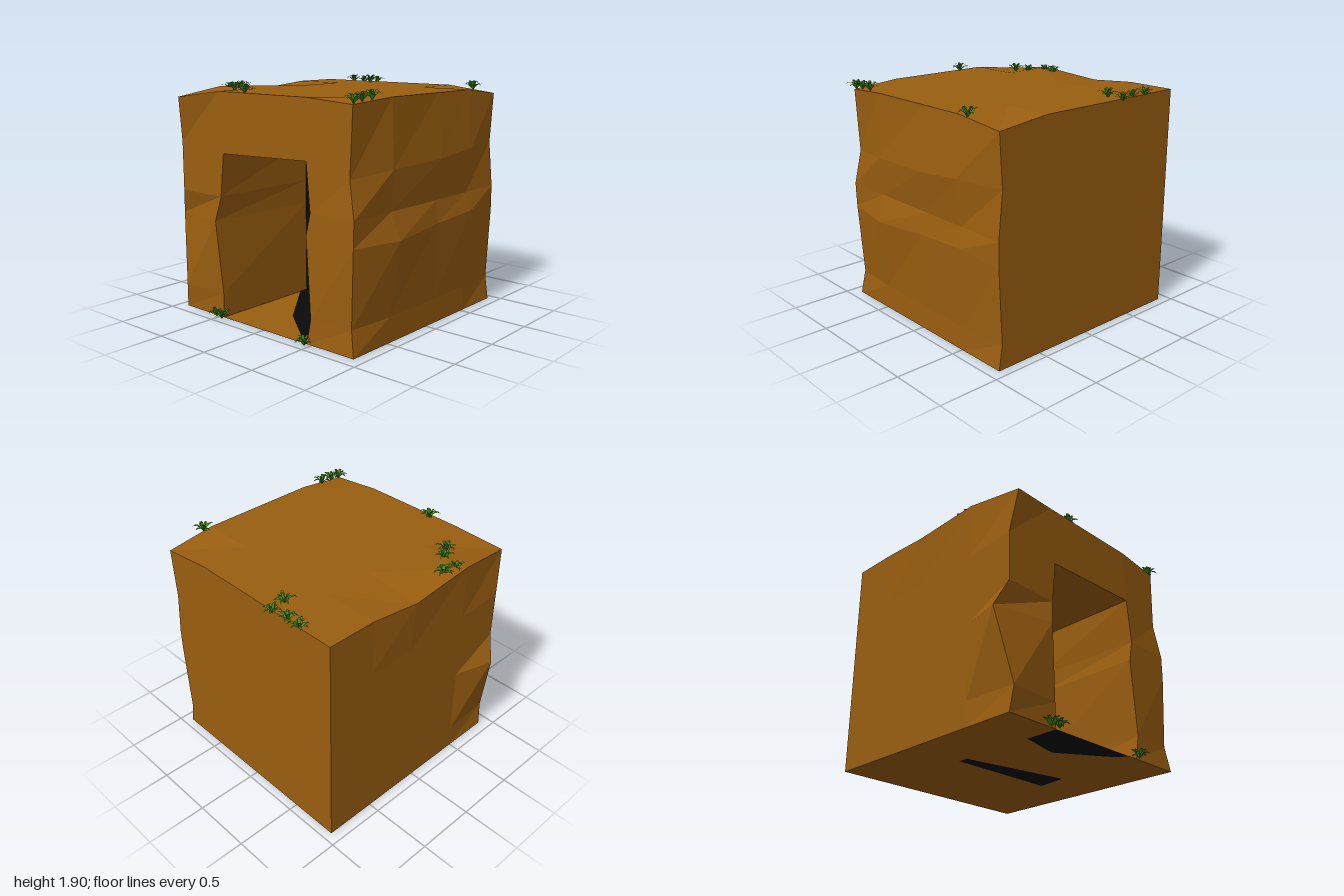
import * as THREE from 'three';

const earth = new THREE.MeshStandardMaterial({ color: 0x9a5e10, flatShading: true, side: THREE.DoubleSide });
const dark = new THREE.MeshStandardMaterial({ color: 0x0a0a0a, side: THREE.DoubleSide });
const green = new THREE.MeshStandardMaterial({ color: 0x4a8f1c, flatShading: true, side: THREE.DoubleSide });

// Lattice of the block: columns, rows, and depth slices from front to back
const xs = [-0.91, -0.455, 0.46, 0.91];
const ys = [0, 0.2, 0.8, 1.0, 1.37, 1.83];
const zs = [0.9, 0.48, -0.1, -0.52, -0.93];

// Lattice points pushed out of line to make the block look rough
const moved = {
  // front left edge
  '0,1,0': [-0.885, 0.2, 0.92], '0,2,0': [-1, 0.79, 0.83], '0,4,0': [-0.91, 1.4, 0.9], '0,5,0': [-0.87, 1.77, 0.96],
  // doorway sides
  '1,2,0': [-0.495, 0.8, 0.93], '1,4,0': [-0.415, 1.345, 0.9],
  '2,1,0': [0.5, 0.2, 0.9], '2,2,0': [0.46, 0.83, 0.9], '2,3,0': [0.5, 1, 0.9], '2,4,0': [0.465, 1.375, 0.9],
  // front right edge
  '3,1,0': [0.875, 0.2, 0.88], '3,2,0': [0.905, 0.8, 0.9], '3,4,0': [0.855, 1.28, 0.88], '3,5,0': [0.88, 1.8, 0.88],
  // +x side
  '3,2,1': [0.98, 0.79, 0.45], '3,2,2': [0.94, 0.82, -0.08], '3,4,2': [0.955, 1.33, -0.1],
  '3,2,3': [0.95, 0.85, -0.55], '3,4,1': [0.93, 1.31, 0.48], '3,4,3': [0.955, 1.37, -0.52],
  // back right edge and left rim
  '3,1,4': [0.88, 0.2, -0.93], '3,4,4': [0.875, 1.37, -0.93], '3,5,4': [0.9, 1.78, -0.93],
  '0,5,2': [-0.93, 1.79, -0.1],
};
const P = (i, j, k) => moved[`${i},${j},${k}`] ?? [xs[i], ys[j], zs[k]];

function mesh(name, geometry, material) {
  const m = new THREE.Mesh(geometry, material);
  m.name = name;
  return m;
}

// Flat-faced sheet over nu x nv cells; skip(u, v) leaves a hole
function sheet(nu, nv, f, skip = () => false) {
  const pos = [];
  for (let u = 0; u < nu; u++) for (let v = 0; v < nv; v++) {
    if (skip(u, v)) continue;
    const a = f(u, v), b = f(u + 1, v), c = f(u + 1, v + 1), d = f(u, v + 1);
    pos.push(...a, ...b, ...c, ...a, ...c, ...d);
  }
  const g = new THREE.BufferGeometry();
  g.setAttribute('position', new THREE.Float32BufferAttribute(pos, 3));
  g.computeVertexNormals();
  return g;
}

// Horizontal patch from [x, z] corners
function patch(corners, y) {
  const shape = new THREE.Shape(corners.map(([x, z]) => new THREE.Vector2(x, -z)));
  return new THREE.ShapeGeometry(shape).rotateX(-Math.PI / 2).translate(0, y, 0);
}

// One arched leaf, pointing along +z
function leaf(reach, rise) {
  const widths = [0.006, 0.012, 0.013, 0.009, 0];
  return sheet(4, 1, (u, v) => {
    const t = u / 4;
    return [(v ? -1 : 1) * widths[u], rise * Math.sin(t * 2.3), reach * t];
  });
}

// Tuft: a ring of drooping leaves around a few upright ones
function tuft(x, y, z, size, turn) {
  const g = new THREE.Group();
  g.name = 'grassTuft';
  for (let n = 0; n < 11; n++) {
    const outer = n < 7;
    const wobble = Math.sin(n * 2.7 + turn * 5);
    const m = mesh('leaf', outer ? leaf(0.088 + 0.012 * wobble, 0.052 + 0.01 * wobble) : leaf(0.05, 0.075), green);
    m.rotation.y = turn + (outer ? n / 7 : (n + 0.4) / 4) * Math.PI * 2 + 0.2 * wobble;
    g.add(m);
  }
  g.position.set(x, y, z);
  g.scale.setScalar(size);
  return g;
}

export function createModel() {
  const model = new THREE.Group();
  model.name = 'earthCave';

  // Outer walls and roof
  const isDoor = (u, v) => u === 1 && v < 4;
  model.add(
    mesh('frontWall', sheet(3, 5, (u, v) => P(u, v, 0), isDoor), earth),
    mesh('leftWall', sheet(4, 5, (u, v) => P(3, v, u), undefined), earth),
    mesh('backWall', sheet(3, 5, (u, v) => P(3 - u, v, 4)), earth),
    mesh('rightWall', sheet(4, 5, (u, v) => P(0, v, 4 - u)), earth),
    mesh('roof', sheet(3, 4, (u, v) => P(u, 5, v)), earth),
    mesh('floor', sheet(3, 4, (u, v) => P(u, 0, 4 - v)), earth),
  );

  // Passage behind the doorway, running back to a dark end wall
  const rim = [];
  for (let j = 0; j < 5; j++) rim.push(P(1, j, 0));
  for (let j = 4; j >= 0; j--) rim.push(P(2, j, 0));
  const endZ = -0.085;
  const end = rim.map(([, y], n) => [n < 5 ? -0.455 : 0.465, y, endZ]);
  model.add(mesh('passage', sheet(9, 1, (u, v) => (v ? end : rim)[u]), earth));
  const endShape = new THREE.Shape(end.map(([x, y]) => new THREE.Vector2(x, y)));
  model.add(mesh('darkEnd', new THREE.ShapeGeometry(endShape).translate(0, 0, endZ), dark));

  // Dark patches on the floor, above and below
  model.add(
    mesh('darkFloor', patch([[-0.455, endZ], [-0.455, 0], [-0.05, 0.52], [0.32, 0.81], [0.36, 0.9],
      [0.46, 0.9], [0.465, endZ]], 0.003), dark),
    mesh('darkUndersideStrip', patch([[-0.455, endZ], [-0.455, 0], [0.44, 0.17], [0.465, endZ]], -0.002), dark),
    mesh('darkUndersideFront', patch([[-0.455, 0.63], [-0.455, 0.9], [0.36, 0.9], [0.31, 0.82],
      [-0.11, 0.55]], -0.002), dark),
  );

  // Grass: x, y, z, size
  const tufts = [
    [-0.82, 1.8, 0.31, 0.95], [-0.84, 1.8, 0.43, 0.85], [-0.68, 1.81, 0.48, 0.85], [-0.62, 1.81, 0.58, 0.95],
    [-0.2, 1.825, 0.86, 0.95], [0.87, 1.82, 0.66, 0.95], [0.87, 1.815, 0.77, 0.9], [0.87, 1.805, 0.86, 0.95],
    [0.9, 1.825, -0.6, 0.95], [-0.31, 1.825, -0.8, 0.95], [-0.6, 1.815, -0.92, 0.9], [-0.47, 1.815, -0.91, 0.85],
    [-0.33, 1.815, -0.93, 0.85], [-0.52, 0, 0.92, 0.95], [-0.45, 0, 0.93, 0.95], [0.46, 0, 0.93, 0.95],
  ];
  tufts.forEach(([x, y, z, s], n) => model.add(tuft(x, y, z, s, n * 1.3)));
  return model;
}
